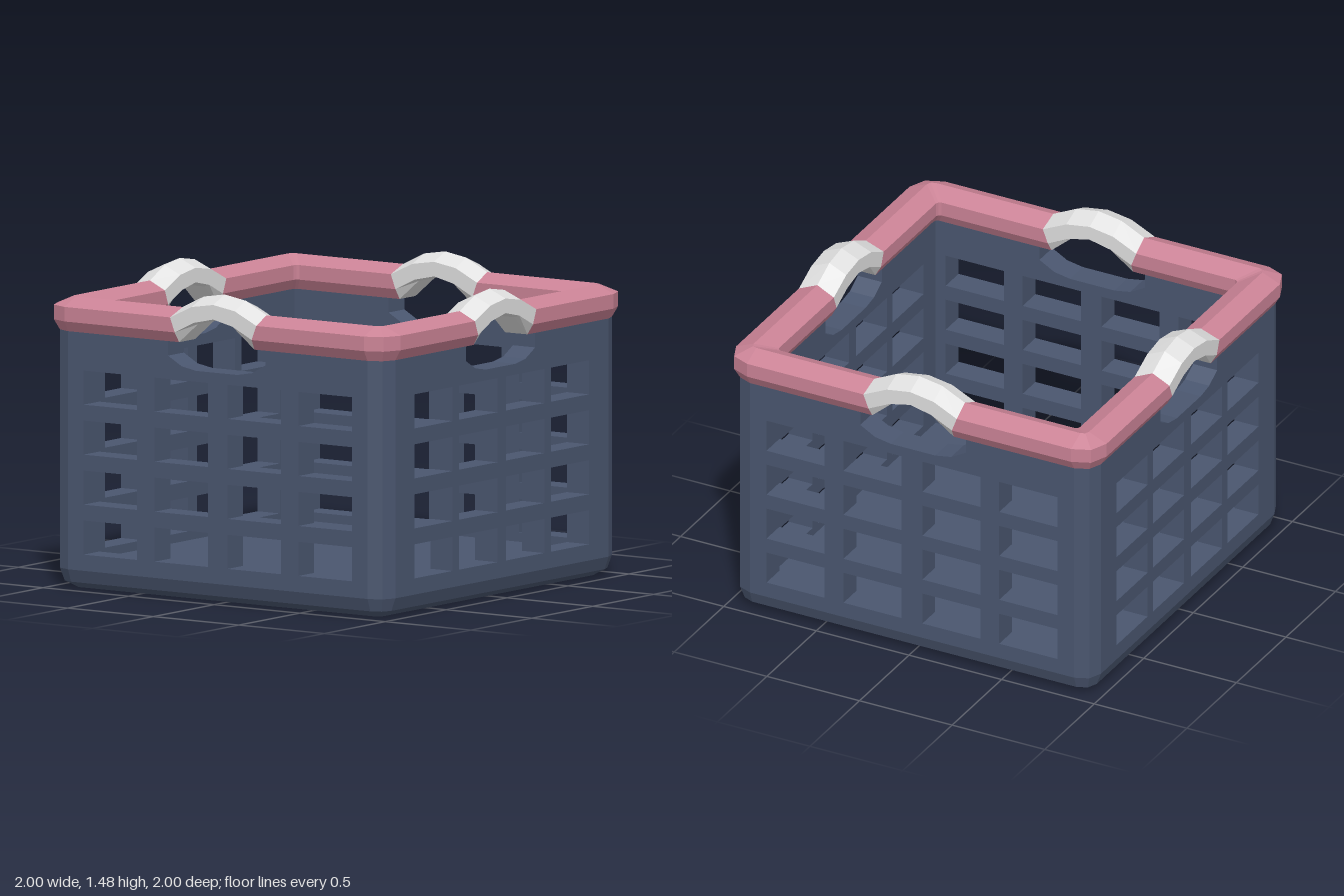
import * as THREE from 'three';

const navy = new THREE.MeshStandardMaterial({ color: 0x4a566f });
navy.name = 'navy plastic';
const pink = new THREE.MeshStandardMaterial({ color: 0xcb8396 });
pink.name = 'pink rim';
const pale = new THREE.MeshStandardMaterial({ color: 0xe0e0e0 });
pale.name = 'pale grip';

const OUT = 0.97, IN = 0.84, FOOT = 0.095, TOP = 1.24;

// Flat-shaded skin over rings of points; each ring is closed
function loft(rings) {
  const pos = [];
  for (let i = 0; i < rings.length - 1; i++) {
    const p = rings[i], q = rings[i + 1], n = p.length;
    for (let j = 0; j < n; j++) {
      const k = (j + 1) % n;
      pos.push(...p[j], ...p[k], ...q[k], ...p[j], ...q[k], ...q[j]);
    }
  }
  const g = new THREE.BufferGeometry();
  g.setAttribute('position', new THREE.Float32BufferAttribute(pos, 3));
  g.computeVertexNormals();
  return g;
}

// Point on the chamfered front-left corner of a square of half-width w
function corner(w, y, step) {
  const r = Math.max(0.02, w - 0.875), t = step * Math.PI / 4;
  return [w - r + r * Math.sin(t), y, w - r + r * Math.cos(t)];
}

// Whole chamfered square at height y
function squareRing(w, y) {
  const ring = [];
  for (let side = 0; side < 4; side++) {
    for (let step = 0; step < 3; step++) {
      let [x, , z] = corner(w, y, step);
      for (let i = 0; i < side; i++) [x, z] = [z, -x];
      ring.push([x, y, z]);
    }
  }
  return ring;
}

// Rim section: distance outward, height, half-length of grip, rise of grip at quarter and middle
const SECTION = [
  [0.905, 1.40, 0.245, 0.06, 0.08],
  [1.0, 1.36, 0.252, 0.06, 0.08],
  [1.0, 1.29, 0.225, 0.055, 0.08],
  [OUT, TOP, 0.22, 0.095, 0.13],
  [IN, TOP, 0.22, 0.095, 0.13],
  [0.812, 1.29, 0.225, 0.055, 0.08],
  [0.812, 1.36, 0.252, 0.06, 0.08],
];

// Wall panel with a grid of openings and a scooped hand hole
function wallGeometry(shift, columns) {
  const shape = new THREE.Shape();
  shape.moveTo(-IN, FOOT);
  shape.lineTo(IN, FOOT);
  shape.lineTo(IN, TOP);
  const scoop = [[0.285, TOP], [0.285, 1.17], [0.205, 1.125], [0.12, 1.11]];
  scoop.forEach(([x, y]) => shape.lineTo(shift + x, y));
  scoop.reverse().forEach(([x, y]) => shape.lineTo(shift - x, y));
  shape.lineTo(-IN, TOP);
  shape.closePath();
  for (const x of columns) {
    for (let row = 0; row < 4; row++) {
      const y = 0.255 + row * 0.2403, w = 0.157, h = 0.082;
      const hole = new THREE.Path();
      hole.moveTo(x - w, y - h);
      hole.lineTo(x - w, y + h);
      hole.lineTo(x + w, y + h);
      hole.lineTo(x + w, y - h);
      hole.closePath();
      shape.holes.push(hole);
    }
  }
  const g = new THREE.ExtrudeGeometry(shape, { depth: OUT - IN, bevelEnabled: false });
  return g.translate(0, 0, IN);
}

function postGeometry() {
  const ring = (y) => [
    [IN, y, OUT], corner(OUT, y, 0), corner(OUT, y, 1), corner(OUT, y, 2),
    [OUT, y, IN], [IN, y, IN],
  ];
  return loft([ring(FOOT), ring(TOP)]);
}

// Arched grip between two rim pieces
function gripGeometry(shift) {
  return loft([-1, -0.5, 0, 0.5, 1].map((f) => SECTION.map(([w, y, half, quarter, mid]) => {
    const rise = f === 0 ? mid : Math.abs(f) === 0.5 ? quarter : 0;
    return [shift + f * half, y + rise, w];
  })));
}

// Rim piece from one grip, round the corner, to the next
function rimGeometry(shift, nextShift) {
  return loft([
    SECTION.map(([w, y, half]) => [shift + half, y, w]),
    ...[0, 1, 2].map((step) => SECTION.map(([w, y]) => corner(w, y, step))),
    SECTION.map(([w, y, half]) => [w, y, half - nextShift]),
  ]);
}

// Chamfered foot and inner floor
function baseGeometry() {
  const centre = (y) => Array.from({ length: 12 }, () => [0, y, 0]);
  return loft([
    centre(0), squareRing(0.885, 0), squareRing(0.947, 0.033), squareRing(OUT, FOOT),
    squareRing(IN + 0.01, FOOT), squareRing(IN + 0.01, 0.13), centre(0.13),
  ]);
}

export function createModel() {
  const basket = new THREE.Group();
  basket.name = 'basket';
  const add = (parent, name, geometry, material) => {
    const mesh = new THREE.Mesh(geometry, material);
    mesh.name = name;
    parent.add(mesh);
  };

  add(basket, 'base', baseGeometry(), navy);

  const narrow = [-0.562, -0.194, 0.19, 0.558];
  const wide = [-0.628, -0.213, 0.213, 0.628];
  const sides = ['front', 'left', 'back', 'right'];
  const shifts = [-0.012, 0.006, 0.012, -0.006];
  sides.forEach((name, i) => {
    const side = new THREE.Group();
    side.name = name + 'Side';
    side.rotation.y = i * Math.PI / 2;
    add(side, name + 'Wall', wallGeometry(shifts[i], i % 2 ? wide : narrow), navy);
    add(side, name + 'CornerPost', postGeometry(), navy);
    add(side, name + 'Rim', rimGeometry(shifts[i], shifts[(i + 1) % 4]), pink);
    add(side, name + 'Grip', gripGeometry(shifts[i]), pale);
    basket.add(side);
  });
  return basket;
}
